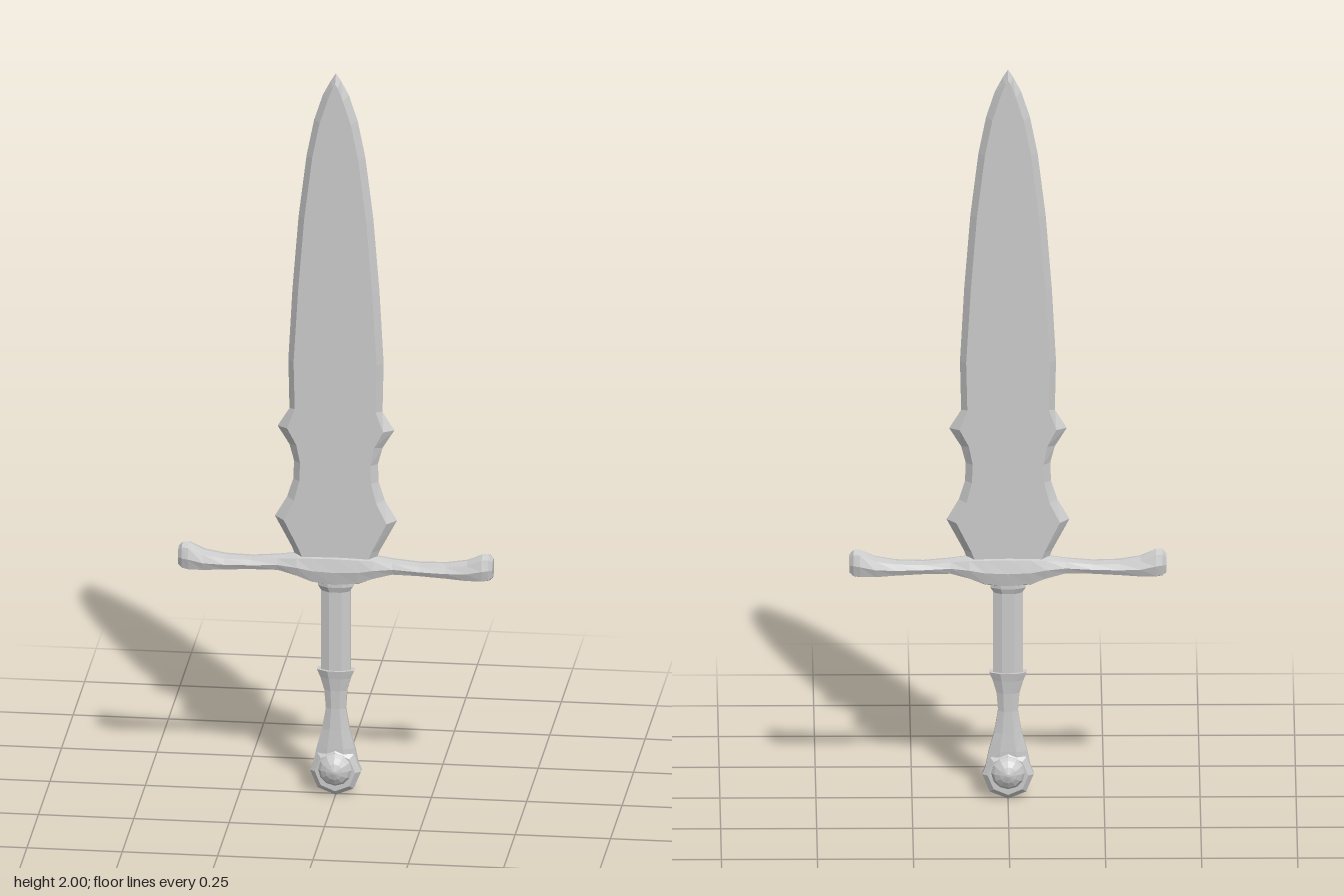
import * as THREE from 'three';

const material = new THREE.MeshStandardMaterial({ color: 0xcccccc, flatShading: true });

// Skin a list of rings (counter-clockwise seen from the far end), optionally capped
function loft(name, rings, capStart = true, capEnd = true) {
  const n = rings[0].length;
  const pos = rings.flat(2);
  const index = [];
  for (let r = 0; r < rings.length - 1; r++) {
    for (let i = 0; i < n; i++) {
      const j = (i + 1) % n;
      const a = r * n + i, b = r * n + j;
      index.push(a, b, b + n, a, b + n, a + n);
    }
  }
  const last = (rings.length - 1) * n;
  for (let i = 1; i < n - 1; i++) {
    if (capStart) index.push(0, i + 1, i);
    if (capEnd) index.push(last, last + i, last + i + 1);
  }
  const indexed = new THREE.BufferGeometry();
  indexed.setAttribute('position', new THREE.Float32BufferAttribute(pos, 3));
  indexed.setIndex(index);
  const geometry = indexed.toNonIndexed();
  geometry.computeVertexNormals();
  const mesh = new THREE.Mesh(geometry, material);
  mesh.name = name;
  return mesh;
}

const around = (n, fn, start = 0) =>
  Array.from({ length: n }, (_, i) => {
    const a = start + (i / n) * Math.PI * 2;
    return fn(Math.cos(a), Math.sin(a));
  });

// Upright eight-sided column from [y, halfWidth, halfDepth] rows
const column = (name, rows) =>
  loft(name, rows.map(([y, w, d]) =>
    around(8, (c, s) => [(s * w) / 0.924, y, (c * d) / 0.924], Math.PI / 8)));

// Disc lying in the xy plane from [z, radius] rows
const disc = (name, rows, n, y) =>
  loft(name, rows.map(([z, r]) => around(n, (c, s) => [c * r, y + s * r, z], Math.PI / 2)));

export function createModel() {
  const group = new THREE.Group();
  group.name = 'dagger';

  // Blade: flat faces with bevelled edges; rows of edge y, edge half-width, face y, face half-width
  const t = 0.019;
  const bladeRows = [
    [0.64, 0.1, 0.64, 0.08], [0.68, 0.115, 0.68, 0.095], [0.765, 0.16, 0.76, 0.135],
    [0.82, 0.128, 0.815, 0.108], [0.87, 0.112, 0.87, 0.094], [0.92, 0.11, 0.92, 0.092],
    [0.965, 0.122, 0.97, 0.102], [1.015, 0.153, 1.015, 0.126], [1.065, 0.122, 1.07, 0.106],
    [1.2, 0.125, 1.2, 0.109], [1.4, 0.114, 1.4, 0.097], [1.6, 0.098, 1.6, 0.081],
    [1.77, 0.077, 1.77, 0.06], [1.87, 0.057, 1.865, 0.041], [1.94, 0.034, 1.93, 0.02],
    [1.98, 0.013, 1.965, 0.007], [2.0, 0, 1.975, 0],
  ];
  group.add(loft('blade', bladeRows.map(([y, w, yi, wi]) => [
    [wi, yi, t], [w, y, 0], [wi, yi, -t], [-wi, yi, -t], [-w, y, 0], [-wi, yi, t],
  ]), true, false));

  // Crossguard: rows of x, top, bottom, half-depth, mirrored about the centre
  const half = [
    [0, 0.67, 0.578, 0.033], [0.06, 0.668, 0.585, 0.033], [0.1, 0.665, 0.602, 0.032],
    [0.15, 0.657, 0.617, 0.026], [0.22, 0.65, 0.617, 0.027], [0.29, 0.652, 0.613, 0.029],
    [0.345, 0.662, 0.608, 0.032], [0.385, 0.682, 0.606, 0.033], [0.402, 0.682, 0.609, 0.029],
    [0.412, 0.67, 0.618, 0.02],
  ];
  const guardRows = [...half.slice(1).reverse().map(([x, ...r]) => [-x, ...r]), ...half];
  const soft = (v) => Math.sign(v) * Math.pow(Math.abs(v), 0.75);
  group.add(loft('crossguard', guardRows.map(([x, top, bottom, d]) =>
    around(8, (c, s) => [x, (top + bottom) / 2 + (soft(c) * (top - bottom)) / 2, soft(s) * d]))));

  // Collar under the guard
  group.add(column('collar', [[0.565, 0.036, 0.02], [0.58, 0.046, 0.025], [0.605, 0.046, 0.025]]));

  // Upper grip
  group.add(column('upperGrip', [[0.335, 0.039, 0.018], [0.59, 0.039, 0.018]]));

  // Waisted lower grip
  group.add(column('lowerGrip', [
    [0.09, 0.058, 0.018], [0.13, 0.05, 0.018], [0.18, 0.036, 0.016], [0.24, 0.026, 0.015],
    [0.29, 0.03, 0.017], [0.325, 0.04, 0.021], [0.347, 0.049, 0.025],
  ]));

  // Pommel plate with a bevelled rim
  group.add(disc('pommel', [[-0.022, 0.053], [-0.01, 0.067], [0.01, 0.067], [0.022, 0.053]], 8, 0.067));

  // Domed studs on both faces of the pommel
  group.add(disc('pommelStuds', [
    [-0.05, 0.004], [-0.044, 0.022], [-0.035, 0.037], [-0.025, 0.044],
    [0.025, 0.044], [0.035, 0.037], [0.044, 0.022], [0.05, 0.004],
  ], 12, 0.075));

  return group;
}
